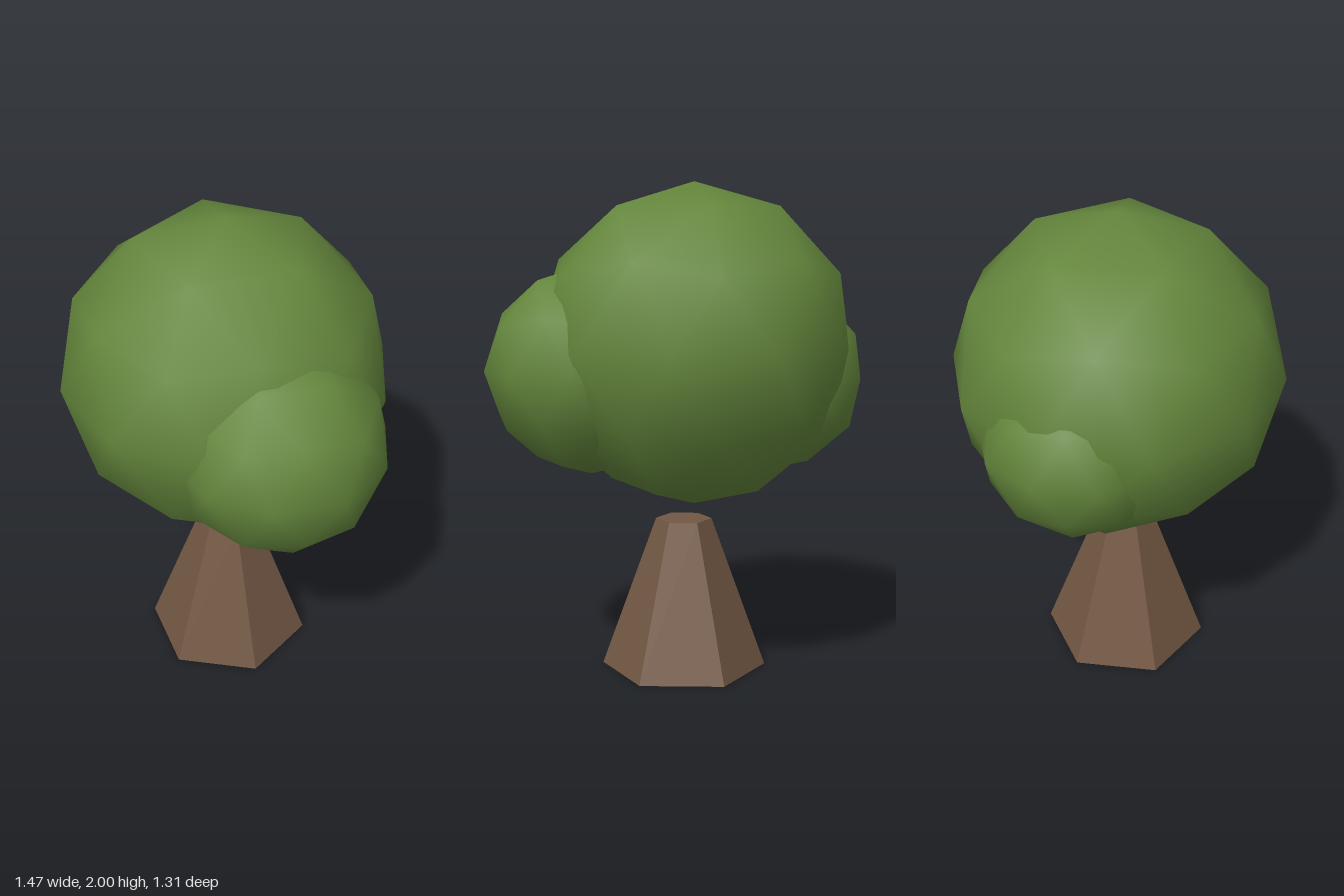
import * as THREE from 'three';

export function createModel() {
  const tree = new THREE.Group();
  tree.name = 'tree';

  const bark = new THREE.MeshStandardMaterial({ color: 0x735844, flatShading: true });
  const leaves = new THREE.MeshStandardMaterial({ color: 0x64863c });

  // Tapered six-sided trunk, closed at both ends
  const trunkHeight = 0.625;
  const trunk = new THREE.Mesh(new THREE.CylinderGeometry(0.115, 0.34, trunkHeight, 6), bark);
  trunk.name = 'trunk';
  trunk.position.set(-0.034, trunkHeight / 2, 0.03);
  tree.add(trunk);

  // Foliage: overlapping icospheres, tilted so that a corner points straight up
  const tilt = -Math.atan(2 / (1 + Math.sqrt(5)));
  const ball = new THREE.IcosahedronGeometry(1, 1).rotateZ(tilt);
  const crown = new THREE.Group();
  crown.name = 'crown';
  const clumps = [
    ['mainFoliage', 0.655, -0.065, 1.345, 0],
    ['leftFoliage', 0.426, 0.325, 1.25, 0.16],
    ['rightFoliage', 0.39, -0.364, 1.215, -0.1],
  ];
  for (const [name, radius, x, y, z] of clumps) {
    const clump = new THREE.Mesh(ball, leaves);
    clump.name = name;
    clump.scale.setScalar(radius);
    clump.position.set(x, y, z);
    crown.add(clump);
  }
  tree.add(crown);

  return tree;
}
